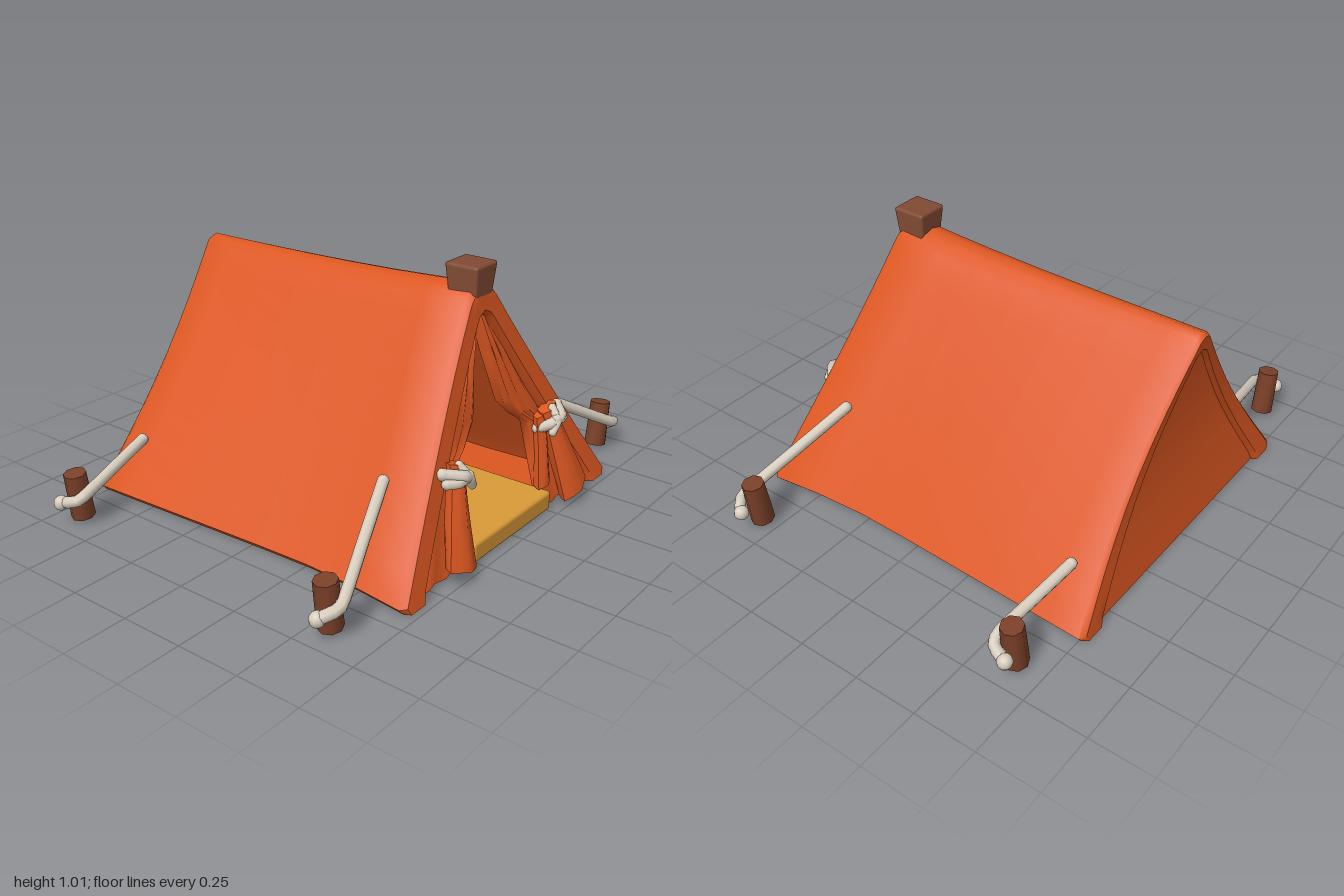
import * as THREE from 'three';
import { toCreasedNormals } from 'three/addons/utils/BufferGeometryUtils.js';
import { RoundedBoxGeometry } from 'three/addons/geometries/RoundedBoxGeometry.js';

const mat = (name, color) => {
  const m = new THREE.MeshStandardMaterial({ color });
  m.name = name;
  return m;
};
const lerp = THREE.MathUtils.lerp;

// Skin a list of equal closed loops, optionally cap both ends, and face it outwards
function loft(rows, crease, capped = true) {
  const n = rows[0].length, pos = rows.flat(2), idx = [];
  for (let r = 0; r < rows.length - 1; r++)
    for (let i = 0; i < n; i++) {
      const a = r * n + i, b = r * n + (i + 1) % n;
      idx.push(a, b, a + n, b, b + n, a + n);
    }
  if (capped) [0, rows.length - 1].forEach((r, end) => {
    const c = pos.length / 3;
    for (let k = 0; k < 3; k++) pos.push(rows[r].reduce((s, p) => s + p[k], 0) / n);
    for (let i = 0; i < n; i++) {
      const a = r * n + i, b = r * n + (i + 1) % n;
      end ? idx.push(c, a, b) : idx.push(c, b, a);
    }
  });
  let volume = 0;
  const v = (i) => new THREE.Vector3().fromArray(pos, i * 3);
  for (let i = 0; i < idx.length; i += 3)
    volume += v(idx[i]).dot(v(idx[i + 1]).cross(v(idx[i + 2])));
  if (volume < 0) idx.reverse();
  const g = new THREE.BufferGeometry();
  g.setAttribute('position', new THREE.Float32BufferAttribute(pos, 3));
  g.setIndex(idx);
  return toCreasedNormals(g, crease);
}

// Curved end lines of the tent, by height
const frontX = (y) => 0.54 + 0.185 * Math.pow(Math.max(0, 1 - y / 0.92), 1.2);
const backX = (y) => -0.78 + 0.04 * Math.sin(Math.PI * Math.min(1, y / 0.9));

// Half profile [z, y] from hem to ridge, straight in between
function halfProfile(hem, low, high, shoulder, top) {
  const pts = [hem];
  for (let k = 0; k <= 9; k++) pts.push([lerp(low[0], high[0], k / 9), lerp(low[1], high[1], k / 9)]);
  return [...pts, shoulder, top];
}

// Tent cloth section at t (0 back, 1 front); f = 0 closes the thickness
function clothSection(t, f) {
  const b = 0.655 + 0.04 * (t < 0.65 ? (0.65 - t) / 0.65 : ((t - 0.65) / 0.35) ** 2);
  const r = 0.91 + 0.035 * t ** 3, w = lerp(0.055, 0.085, t);
  const outer = halfProfile([b - 0.02, 0.005], [b, 0.028], [w, r - 0.045], [w * 0.55, r - 0.012], [0, r]);
  const inner = halfProfile([b - 0.13, 0.005], [b - 0.15, 0.05], [0.05, 0.79], [0.03, 0.815], [0, 0.83]);
  const blend = (p, q) => p.map((a, i) => a.map((c, k) => lerp((c + q[i][k]) / 2, c, f)));
  const full = (h) => [...h, ...h.slice(0, -1).reverse().map(([z, y]) => [-z, y])];
  const loop = [...full(blend(outer, inner)), ...full(blend(inner, outer)).reverse()];
  return loop.map(([z, y]) => [lerp(backX(y), frontX(y), t), y, z]);
}

export function createModel() {
  const tent = new THREE.Group();
  tent.name = 'tent';
  const orange = mat('orange canvas', 0xdc5721);
  const brown = mat('ridge post wood', 0x804a33);
  const darkBrown = mat('peg wood', 0x7b4028);
  const yellow = mat('yellow mat', 0xda9a37);
  const cream = mat('cream rope', 0xd8cdbe);
  const add = (name, geometry, material, parent = tent) => {
    const m = new THREE.Mesh(geometry, material);
    m.name = name;
    parent.add(m);
    return m;
  };
  const rope = (name, pts, radius, parent) => {
    const curve = new THREE.CatmullRomCurve3(pts.map((p) => new THREE.Vector3(...p)), false, 'catmullrom', 0.3);
    add(name, new THREE.TubeGeometry(curve, 20, radius, 8), cream, parent);
    for (const p of [pts[0], pts.at(-1)])
      add(name + 'End', new THREE.SphereGeometry(radius * 1.03, 8, 6), cream, parent).position.set(...p);
  };

  // Thick sloping cloth with rounded end edges, open at both ends
  const stations = [[0, 0], [0, 0.7], [0.012, 1], [0.1, 1], [0.25, 1], [0.4, 1], [0.55, 1],
    [0.7, 1], [0.85, 1], [0.985, 1], [1, 0.7], [1, 0]];
  add('cloth', loft(stations.map(([t, f]) => clothSection(t, f)), 0.8, false), orange);

  // Back wall, narrowed to the ridge and curved like the cloth edge
  const wall = new THREE.BoxGeometry(0.03, 0.84, 1, 1, 10, 1);
  const wp = wall.attributes.position;
  for (let i = 0; i < wp.count; i++) {
    const y = wp.getY(i) + 0.43;
    wp.setXYZ(i, wp.getX(i) + backX(y) + 0.035, y, wp.getZ(i) * 2 * lerp(0.6, 0.02, (y - 0.01) / 0.84));
  }
  wall.computeVertexNormals();
  add('backWall', wall, orange);

  // Ground sheet and sleeping mat
  add('groundSheet', new THREE.BoxGeometry(1.41, 0.035, 1.14), orange).position.set(-0.035, 0.03, 0);
  add('mat', new RoundedBoxGeometry(1.02, 0.08, 0.53, 2, 0.015), yellow).position.set(0.2, 0.045, 0);

  // Ridge post, wider at the top
  const post = new RoundedBoxGeometry(0.14, 0.14, 0.136, 2, 0.012);
  const pp = post.attributes.position;
  for (let i = 0; i < pp.count; i++) {
    const k = 0.9 + 0.1 * (pp.getY(i) / 0.07);
    pp.setX(i, pp.getX(i) * k);
    pp.setZ(i, pp.getZ(i) * k);
  }
  add('ridgePost', post, brown).position.set(0.484, 0.945, 0);

  for (const s of [1, -1]) {
    const side = s > 0 ? 'left' : 'right';

    // Door flap: pleated sheet drawn aside; rows are height, inner z, outer z
    const flap = new THREE.Group();
    flap.name = side + 'DoorFlap';
    tent.add(flap);
    const rows = [[0.84, 0, 0.04], [0.65, 0.05, 0.16], [0.47, 0.1, 0.27], [0.4, 0.17, 0.32],
      [0.35, 0.24, 0.37], [0.2, 0.25, 0.46], [0.015, 0.26, 0.57]];
    add('flapSheet', loft(rows.map(([y, e, o]) => {
      const face = (dx) => [0, 1, 2, 3, 4, 5, 6].map((i) =>
        [frontX(y) + dx + 0.012 * (i % 2), y, s * lerp(e, o, i / 6)]);
      return [...face(-0.04), ...face(-0.075).reverse()];
    }), 1.2), orange, flap);

    // Flap tails below the tie; rows are x, y, z and half sizes
    const tail = (name, list) => add(name, loft(list.map(([x, y, z, hx, hz]) =>
      Array.from({ length: 10 }, (_, i) => {
        const a = i * Math.PI / 5, k = i % 2 ? 0.88 : 1.05;
        return [x + hx * k * Math.cos(a), y + 0.3 * hz * Math.sin(a), s * (z + hz * k * Math.sin(a))];
      })), 0.9), orange, flap);
    tail('wideTail', [[0.645, 0.4, 0.31, 0.03, 0.045], [0.66, 0.34, 0.32, 0.032, 0.04],
      [0.695, 0.2, 0.355, 0.038, 0.06], [0.735, 0.055, 0.388, 0.038, 0.08]]);
    tail('narrowTail', [[0.635, 0.38, 0.275, 0.02, 0.03], [0.65, 0.25, 0.275, 0.024, 0.032],
      [0.665, 0.1, 0.272, 0.028, 0.04]]);

    // Knotted tie round the flap
    rope('tieLoop', [[0.635, 0.325, 0.265 * s], [0.685, 0.35, 0.285 * s], [0.695, 0.372, 0.33 * s],
      [0.645, 0.385, 0.385 * s]], 0.022, flap);
    rope('tieBow', [[0.695, 0.365, 0.3 * s], [0.69, 0.355, 0.35 * s], [0.665, 0.355, 0.385 * s]], 0.02, flap);
    rope('tieEnd', [[0.695, 0.32, 0.275 * s], [0.7, 0.36, 0.3 * s], [0.665, 0.4, 0.315 * s]], 0.016, flap);

    // Guy ropes wound round their pegs
    for (const [where, px, start, bend, end] of [
      ['Front', 0.57, [0.475, 0.35, 0.49], [0.628, 0.13, 0.9], [0.585, 0.095, 0.972]],
      ['Back', -0.64, [-0.64, 0.22, 0.575], [-0.582, 0.135, 0.91], [-0.655, 0.1, 0.972]],
    ]) {
      const guy = new THREE.Group();
      guy.name = side + where + 'Guy';
      tent.add(guy);
      const peg = add('peg', toCreasedNormals(new THREE.CylinderGeometry(0.043, 0.046, 0.185, 8), 0.9), darkBrown, guy);
      peg.position.set(px, 0.112, 0.9 * s);
      peg.rotation.x = 0.13 * s;
      const flip = ([x, y, z]) => [x, y, z * s];
      const straight = start.map((c, k) => lerp(c, bend[k], 0.5));
      const corner = [px + 0.045, 0.115, 0.95];
      rope('rope', [start, straight, bend, corner, end].map(flip), 0.022, guy);
      add('knot', new THREE.SphereGeometry(0.029, 10, 8), cream, guy).position.set(...flip(end));
    }
  }
  return tent;
}
